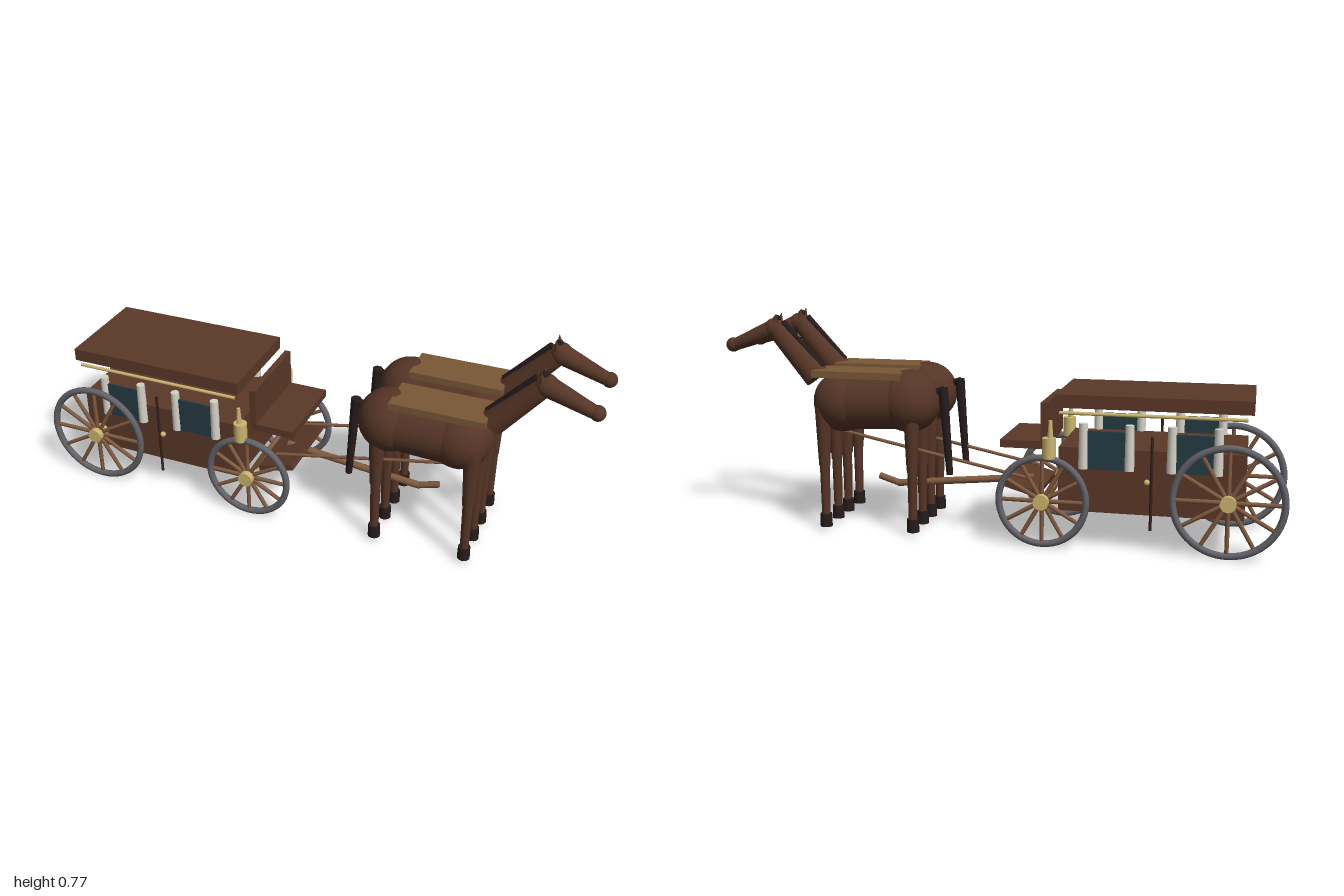
import * as THREE from 'three';

const mat = (name, color, side = THREE.FrontSide) => {
  const m = new THREE.MeshStandardMaterial({ color, side });
  m.name = name;
  return m;
};
const V = (x, y, z = 0) => new THREE.Vector3(x, y, z);

export function createModel() {
  const wood = mat('coachBrown', 0x5b3827);
  const hide = mat('horseBrown', 0x553526);
  const dark = mat('darkHair', 0x261b1b);
  const iron = mat('ironGrey', 0x626268);
  const spokeWood = mat('lightWood', 0x805a40);
  const leather = mat('saddleTan', 0x7a5836);
  const gold = mat('brass', 0xcdb672);
  const cloth = mat('curtainWhite', 0xd6d3c8);
  const glass = mat('windowBlue', 0x263b45);
  const trim = mat('doorTrim', 0x35211a);

  const root = new THREE.Group();
  root.name = 'carriageAndHorses';

  const add = (parent, name, geo, material, pos = V(0, 0)) => {
    const m = new THREE.Mesh(geo, material);
    m.name = name;
    m.position.copy(pos);
    parent.add(m);
    return m;
  };
  // Box given by its x, y and z ranges
  const box = (parent, name, material, x0, x1, y0, y1, z0, z1) =>
    add(parent, name, new THREE.BoxGeometry(x1 - x0, y1 - y0, z1 - z0), material,
      V((x0 + x1) / 2, (y0 + y1) / 2, (z0 + z1) / 2));
  // Tapered rod running from a to b
  const rod = (parent, name, material, a, b, ra, rb = ra, sides = 12) => {
    const d = b.clone().sub(a);
    const m = add(parent, name, new THREE.CylinderGeometry(rb, ra, d.length(), sides), material,
      a.clone().add(b).multiplyScalar(0.5));
    m.quaternion.setFromUnitVectors(V(0, 1), d.normalize());
    return m;
  };
  const ball = (parent, name, material, pos, r, sx = 1, sy = 1, sz = 1) => {
    const m = add(parent, name, new THREE.SphereGeometry(r, 24, 16), material, pos);
    m.scale.set(sx, sy, sz);
    return m;
  };

  // Spoked wheel in the xy plane
  const wheel = (parent, name, x, y, z, r) => {
    const g = new THREE.Group();
    g.name = name;
    g.position.set(x, y, z);
    parent.add(g);
    add(g, 'rim', new THREE.TorusGeometry(r - 0.012, 0.012, 10, 48), iron);
    for (let i = 0; i < 12; i++) {
      const a = (i / 12) * Math.PI * 2;
      rod(g, 'spoke', spokeWood, V(0, 0), V(Math.cos(a) * (r - 0.015), Math.sin(a) * (r - 0.015)), 0.008, 0.007, 8);
    }
    rod(g, 'hub', gold, V(0, 0, -0.028), V(0, 0, 0.028), 0.027, 0.027, 12);
  };

  // Coach
  const coach = new THREE.Group();
  coach.name = 'coach';
  root.add(coach);
  box(coach, 'body', wood, -0.86, -0.24, 0.13, 0.35, -0.172, 0.172);
  box(coach, 'roof', wood, -0.88, -0.228, 0.485, 0.53, -0.182, 0.182);
  box(coach, 'driverSeat', wood, -0.19, -0.033, 0.335, 0.362, -0.155, 0.155);
  box(coach, 'seatBack', wood, -0.196, -0.174, 0.35, 0.495, -0.155, 0.155);
  const foot = box(coach, 'footboard', wood, -0.17, -0.035, 0.182, 0.204, -0.155, 0.155);
  foot.rotation.z = 0.28;
  rod(coach, 'rearAxle', spokeWood, V(-0.808, 0.197, -0.2), V(-0.808, 0.197, 0.2), 0.01);
  rod(coach, 'frontAxle', spokeWood, V(-0.19, 0.166, -0.2), V(-0.19, 0.166, 0.2), 0.01);

  for (const s of [-1, 1]) {
    const side = s > 0 ? 'near' : 'far';
    wheel(coach, side + 'RearWheel', -0.808, 0.197, s * 0.202, 0.193);
    wheel(coach, side + 'FrontWheel', -0.19, 0.166, s * 0.202, 0.162);
    // Windows with a curtain at each edge
    for (const [x0, x1] of [[-0.77, -0.62], [-0.48, -0.325]]) {
      box(coach, 'window', glass, x0, x1, 0.28, 0.41, s * 0.177 - 0.004, s * 0.177 + 0.004);
      for (const x of [x0, x1]) rod(coach, 'curtain', cloth, V(x, 0.28, s * 0.175), V(x, 0.435, s * 0.175), 0.017, 0.015);
    }
    // Door edge, handle and rail under the roof
    rod(coach, 'doorTrim', trim, V(-0.555, 0.08, s * 0.18), V(-0.555, 0.4, s * 0.18), 0.005, 0.005, 8);
    ball(coach, 'doorHandle', gold, V(-0.54, 0.245, s * 0.181), 0.01);
    rod(coach, 'roofRail', gold, V(-0.86, 0.468, s * 0.178), V(-0.243, 0.468, s * 0.178), 0.006, 0.006, 8);
    // Lamp
    rod(coach, 'lamp', gold, V(-0.213, 0.315, s * 0.2), V(-0.213, 0.385, s * 0.2), 0.024, 0.024, 12);
    rod(coach, 'lampTop', gold, V(-0.217, 0.385, s * 0.2), V(-0.217, 0.445, s * 0.2), 0.01, 0.006, 10);
    // Trace to each horse
    rod(root, 'trace', spokeWood, V(-0.12, 0.22, s * 0.107), V(0.56, 0.358, s * 0.107), 0.006, 0.006, 8);
  }

  // Draught pole with upturned tip
  rod(root, 'pole', spokeWood, V(-0.12, 0.198), V(0.39, 0.148), 0.013);
  rod(root, 'poleTip', spokeWood, V(0.38, 0.147), V(0.46, 0.172), 0.012);

  // Horse facing +x
  const horse = (z) => {
    const g = new THREE.Group();
    g.name = z > 0 ? 'nearHorse' : 'farHorse';
    g.position.z = z;
    root.add(g);
    rod(g, 'barrel', hide, V(0.3, 0.475), V(0.55, 0.465), 0.1, 0.1, 28);
    ball(g, 'hindquarters', hide, V(0.305, 0.475), 0.11);
    ball(g, 'chest', hide, V(0.55, 0.465), 0.108);
    box(g, 'saddleBlanket', leather, 0.318, 0.642, 0.556, 0.58, -0.072, 0.072);
    // Neck, mane and head
    rod(g, 'neck', hide, V(0.65, 0.548), V(0.8, 0.715), 0.046, 0.034, 20);
    rod(g, 'mane', dark, V(0.63, 0.585), V(0.775, 0.742), 0.012, 0.012, 8);
    ball(g, 'skull', hide, V(0.806, 0.718), 0.038);
    rod(g, 'face', hide, V(0.81, 0.716), V(0.965, 0.656), 0.035, 0.022, 20);
    ball(g, 'muzzle', hide, V(0.971, 0.656), 0.026);
    ball(g, 'forelock', dark, V(0.797, 0.753), 0.014);
    for (const s of [-1, 1]) {
      rod(g, 'ear', hide, V(0.795, 0.737, s * 0.021), V(0.79, 0.772, s * 0.023), 0.011, 0.001, 10);
      // Legs
      for (const x of [0.28, 0.607]) {
        const zl = s * 0.058;
        rod(g, 'upperLeg', hide, V(x, 0.24, zl), V(x, 0.45, zl), 0.02, 0.029, 16);
        rod(g, 'lowerLeg', hide, V(x, 0.055, zl), V(x, 0.245, zl), 0.015, 0.018, 14);
        rod(g, 'hoof', dark, V(x, 0.016, zl), V(x, 0.063, zl), 0.022, 0.021, 14);
      }
    }
    // Tail
    rod(g, 'tailRoot', dark, V(0.21, 0.51), V(0.178, 0.52), 0.012, 0.013);
    rod(g, 'tail', dark, V(0.182, 0.526), V(0.16, 0.217), 0.018, 0.012);
  };
  horse(0.109);
  horse(-0.109);

  return root;
}
